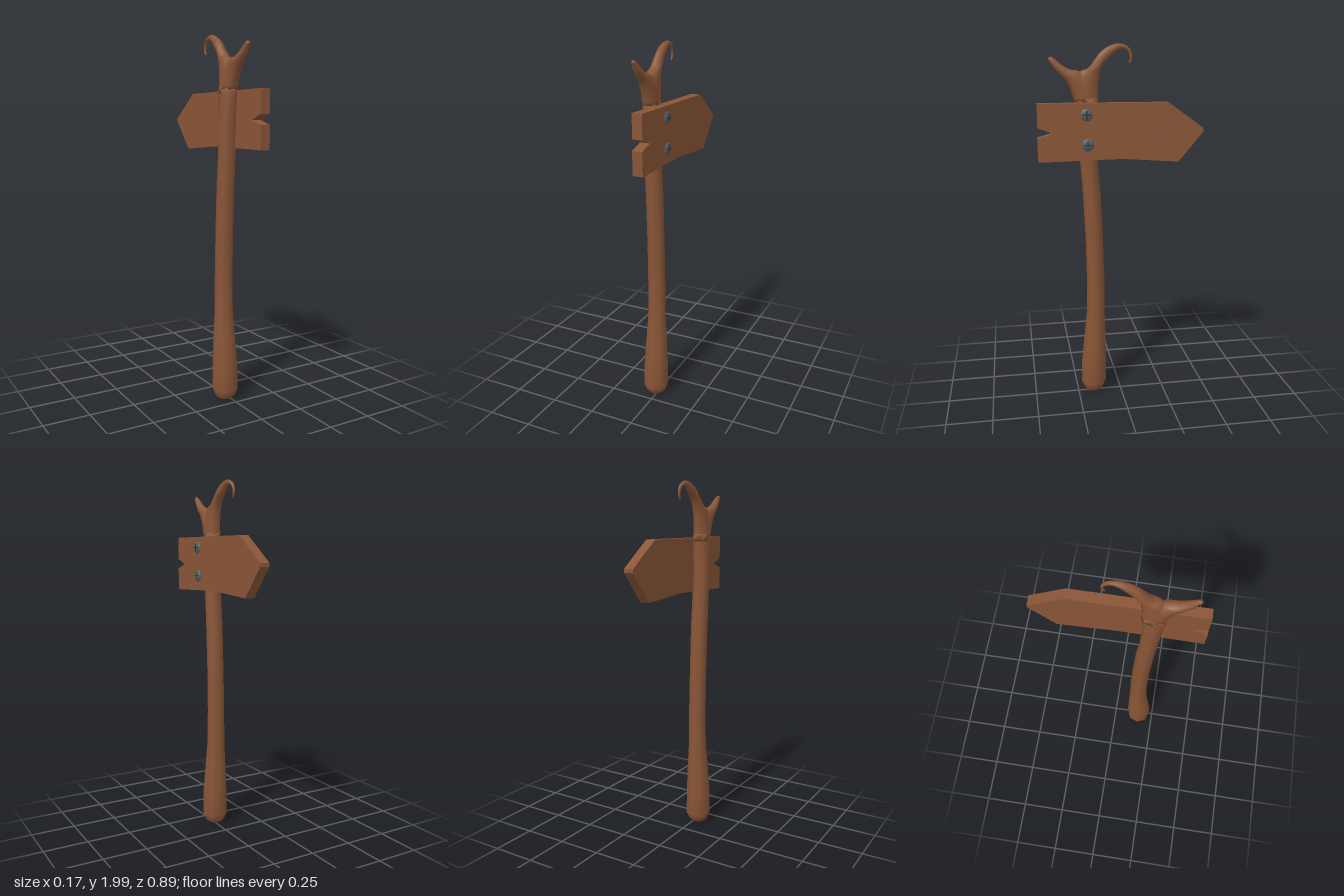
import * as THREE from 'three';
import { mergeVertices } from 'three/addons/utils/BufferGeometryUtils.js';

const wood = new THREE.MeshStandardMaterial({ color: 0x8a5637 });
const steel = new THREE.MeshStandardMaterial({ color: 0x5a5e62 });
const darkSteel = new THREE.MeshStandardMaterial({ color: 0x303336 });
const POST_X = -0.015;

// Skin over oval rings; each ring is [back z, back y, front z, front y, half width in x]
function loft(rings, sides = 8) {
  const pos = [], index = [];
  const mid = ([za, ya, zb, yb]) => [(za + zb) / 2, (ya + yb) / 2, (za + zb) / 2, (ya + yb) / 2, 0];
  const all = [mid(rings[0]), ...rings, mid(rings[rings.length - 1])];
  all.forEach(([za, ya, zb, yb, hx], i) => {
    for (let j = 0; j < sides; j++) {
      const t = (j / sides) * Math.PI * 2, c = Math.cos(t) / 2;
      pos.push(POST_X + Math.sin(t) * hx, (ya + yb) / 2 + c * (yb - ya), (za + zb) / 2 + c * (zb - za));
      if (i === all.length - 1) continue;
      const a = i * sides + j, b = i * sides + (j + 1) % sides;
      index.push(a, b, b + sides, a, b + sides, a + sides);
    }
  });
  let g = new THREE.BufferGeometry();
  g.setAttribute('position', new THREE.Float32BufferAttribute(pos, 3));
  g.setIndex(index);
  g = mergeVertices(g, 1e-5);
  g.computeVertexNormals();
  return g;
}

// Round off a few rings into a flowing branch
function smoothRings(rings, steps) {
  const a = new THREE.CatmullRomCurve3(rings.map(r => new THREE.Vector3(r[4], r[1], r[0])));
  const b = new THREE.CatmullRomCurve3(rings.map(r => new THREE.Vector3(r[4], r[3], r[2])));
  return Array.from({ length: steps + 1 }, (_, i) => {
    const p = a.getPoint(i / steps), q = b.getPoint(i / steps);
    return [p.z, p.y, q.z, q.y, Math.max(0.003, p.x)];
  });
}

function add(parent, name, geometry, material) {
  const mesh = new THREE.Mesh(geometry, material);
  mesh.name = name;
  parent.add(mesh);
  return mesh;
}

// Screw pointing along +x, origin on the board surface
function makeScrew(name, y, z) {
  const screw = new THREE.Group();
  screw.name = name;
  const profile = [[0, -0.01], [0.015, -0.01], [0.015, 0.006], [0.033, 0.006], [0.033, 0.009],
    [0.026, 0.015], [0.015, 0.018], [0, 0.019]].map(p => new THREE.Vector2(...p));
  add(screw, 'screwHead', new THREE.LatheGeometry(profile, 16), steel);
  add(screw, 'slot', new THREE.BoxGeometry(0.044, 0.004, 0.006), darkSteel).position.y = 0.0175;
  add(screw, 'crossSlot', new THREE.BoxGeometry(0.006, 0.004, 0.044), darkSteel).position.y = 0.0175;
  screw.rotation.z = -Math.PI / 2;
  screw.position.set(0.067, y, z);
  return screw;
}

export function createModel() {
  const model = new THREE.Group();
  model.name = 'signpost';

  // Gently bowed post: [y, centre z, radius]
  const post = [[0.01, 0.157, 0.04], [0.025, 0.157, 0.056], [0.065, 0.157, 0.073], [0.2, 0.155, 0.071],
    [0.35, 0.148, 0.062], [0.5, 0.142, 0.052], [0.7, 0.14, 0.05], [0.95, 0.146, 0.049],
    [1.2, 0.157, 0.049], [1.4, 0.172, 0.048], [1.55, 0.178, 0.05]]
    .map(([y, z, r]) => [z - r, y, z + r, y, Math.min(r, 0.073)]);
  post.push([0.118, 1.68, 0.242, 1.68, 0.044], [0.118, 1.72, 0.245, 1.72, 0.042]);
  add(model, 'post', loft(post), wood);

  // Tall branch curling over at the tip
  const hook = [[0.118, 1.68, 0.242, 1.68, 0.044], [0.117, 1.76, 0.242, 1.79, 0.039],
    [0.108, 1.84, 0.213, 1.858, 0.035], [0.09, 1.89, 0.172, 1.873, 0.031], [0.073, 1.912, 0.14, 1.91, 0.027],
    [0.03, 1.95, 0.102, 1.958, 0.022], [0.01, 1.965, 0.05, 1.99, 0.018], [-0.012, 1.972, 0, 2, 0.013],
    [-0.035, 1.965, -0.045, 1.982, 0.01], [-0.05, 1.945, -0.065, 1.95, 0.007],
    [-0.053, 1.918, -0.065, 1.92, 0.006], [-0.045, 1.9, -0.053, 1.898, 0.004]];
  add(model, 'curledBranch', loft(smoothRings(hook, 33)), wood);

  // Short pointed branch
  const fork = [[0.125, 1.7, 0.243, 1.7, 0.042], [0.15, 1.79, 0.26, 1.755, 0.039],
    [0.21, 1.858, 0.287, 1.81, 0.034], [0.262, 1.868, 0.316, 1.84, 0.027], [0.305, 1.89, 0.345, 1.87, 0.021],
    [0.338, 1.918, 0.365, 1.9, 0.015], [0.362, 1.934, 0.381, 1.922, 0.009]];
  add(model, 'pointedBranch', loft(smoothRings(fork, 18)), wood);

  // Arrow board with a split rear end, outline in (-z, y)
  const outline = [[0.445, 1.395], [0, 1.403], [-0.31, 1.38], [-0.445, 1.54], [-0.445, 1.56], [-0.25, 1.698],
    [0.445, 1.7], [0.445, 1.575], [0.365, 1.545], [0.448, 1.52]];
  const shape = new THREE.Shape(outline.map(([z, y]) => new THREE.Vector2(-z, y)));
  const board = add(model, 'arrowBoard',
    new THREE.ExtrudeGeometry(shape, { depth: 0.055, bevelEnabled: false }), wood);
  board.rotation.y = Math.PI / 2;
  board.position.x = 0.012;

  // Screws holding the board
  model.add(makeScrew('upperScrew', 1.64, 0.191), makeScrew('lowerScrew', 1.483, 0.186));
  return model;
}
